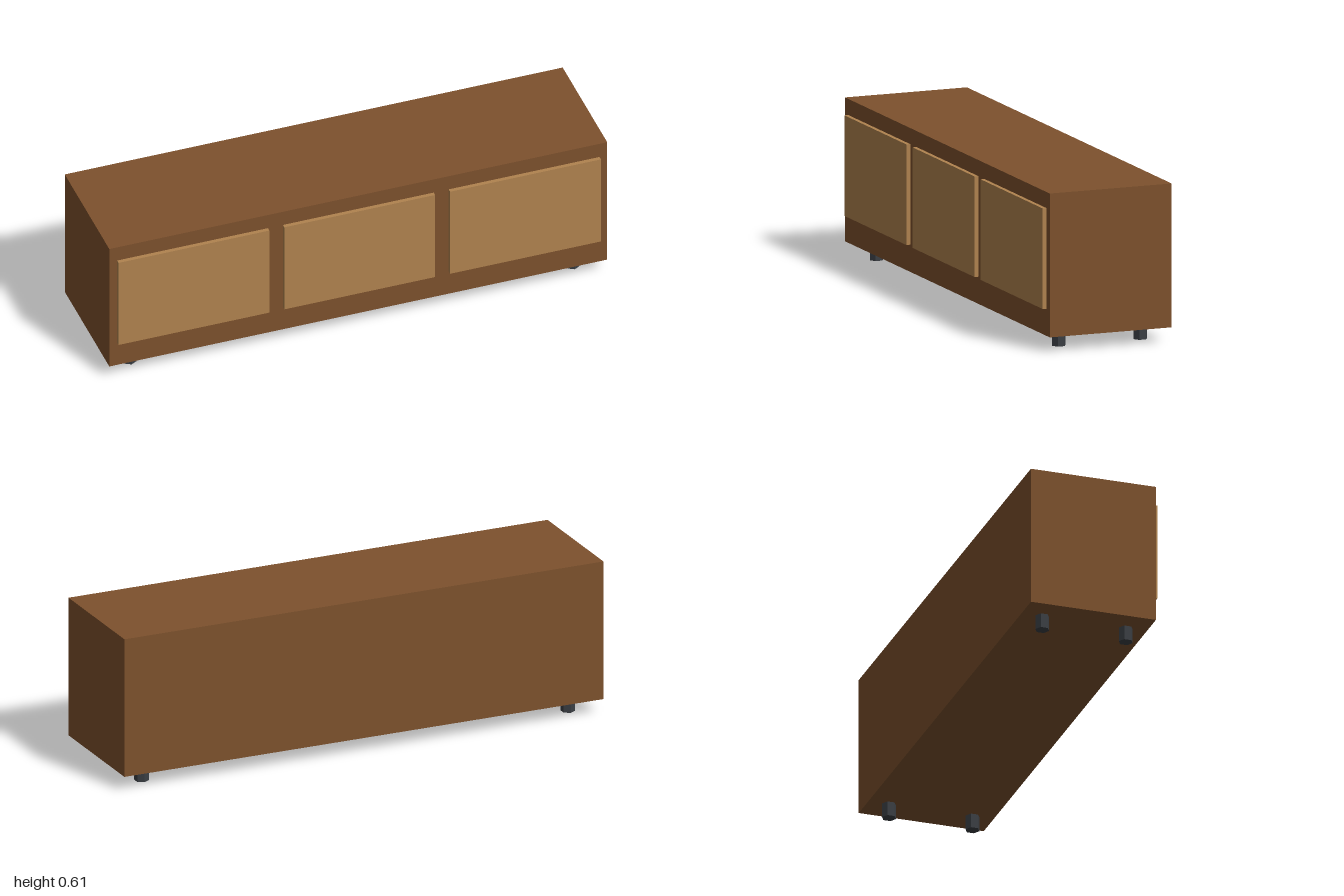
import * as THREE from 'three';

export function createModel() {
  const model = new THREE.Group();
  model.name = 'sideboard';

  const material = (name, color) => {
    const m = new THREE.MeshStandardMaterial({ color });
    m.name = name;
    return m;
  };
  const darkWood = material('dark wood', 0x7d512d);
  const lightWood = material('light wood', 0xb0834f);
  const darkMetal = material('dark metal', 0x3b3f44);
  darkMetal.flatShading = true;

  const add = (name, geometry, mat, x, y, z) => {
    const mesh = new THREE.Mesh(geometry, mat);
    mesh.name = name;
    mesh.position.set(x, y, z);
    model.add(mesh);
  };

  // Cabinet
  const bottom = 0.057, top = 0.612, back = -0.258, front = 0.242;
  add('cabinet', new THREE.BoxGeometry(2, top - bottom, front - back), darkWood,
    0, (top + bottom) / 2, (front + back) / 2);

  // Three raised door panels
  const doorGeometry = new THREE.BoxGeometry(0.606, 0.388, 0.016);
  ['rightDoor', 'middleDoor', 'leftDoor'].forEach((name, i) =>
    add(name, doorGeometry, lightWood, (i - 1) * 0.666, 0.356, front + 0.008));

  // Four hexagonal feet
  const footGeometry = new THREE.CylinderGeometry(0.0278, 0.0278, bottom, 6);
  for (const [side, x] of [['Right', -0.89], ['Left', 0.89]]) {
    add('front' + side + 'Foot', footGeometry, darkMetal, x, bottom / 2, 0.159);
    add('back' + side + 'Foot', footGeometry, darkMetal, x, bottom / 2, -0.175);
  }

  return model;
}
